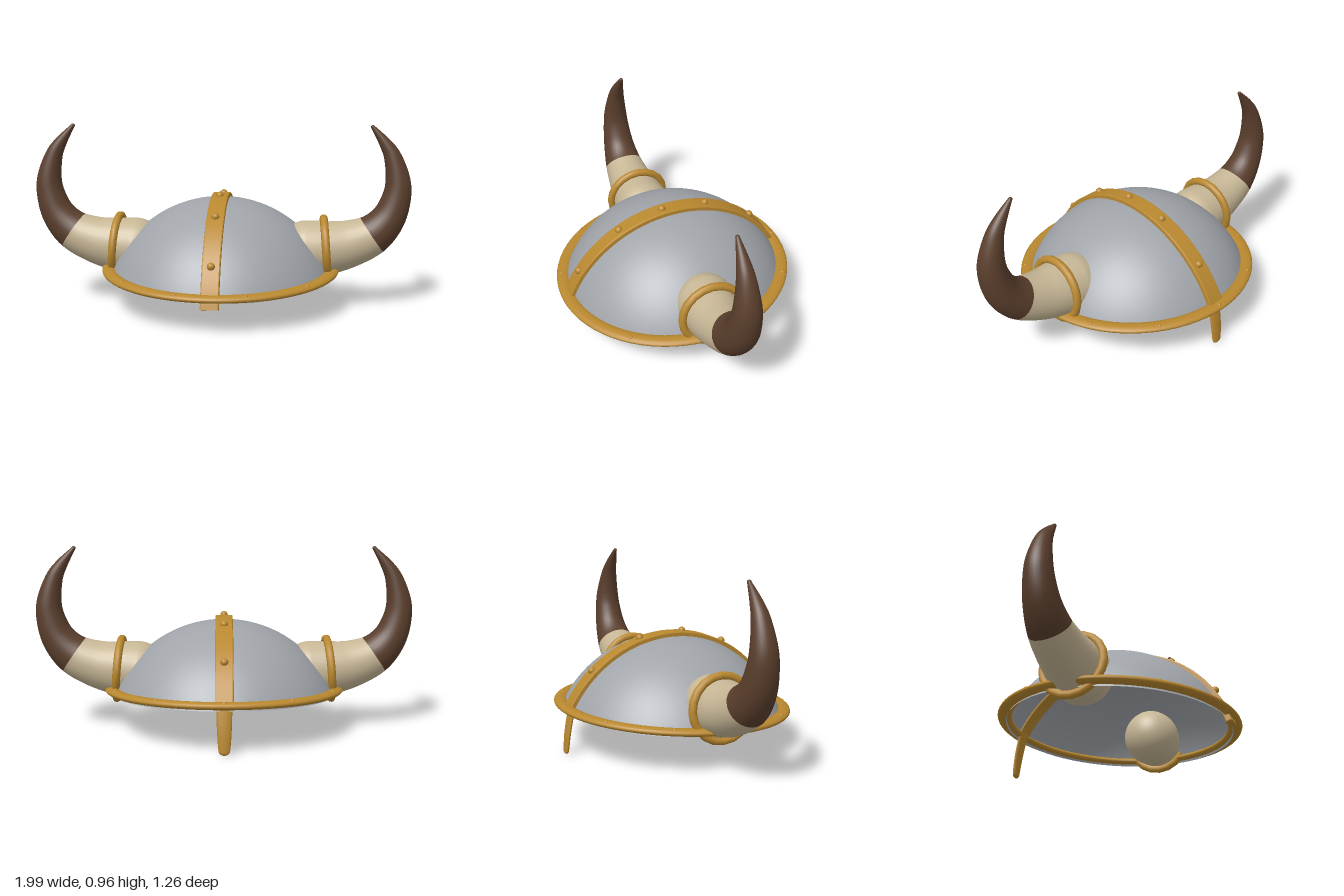
import * as THREE from 'three';

const mat = (name, color, side = THREE.FrontSide) => {
  const m = new THREE.MeshStandardMaterial({ color, side });
  m.name = name;
  return m;
};

// Lofts oval rings along a path in the xy plane; each point is [x, y, half depth, half width]
function loft(points, from = 0, to = 1, steps = 32, sides = 28) {
  const v = (a, b) => points.map(p => new THREE.Vector3(p[a], p[b], 0));
  const path = new THREE.CatmullRomCurve3(v(0, 1), false, 'catmullrom');
  const radii = new THREE.CatmullRomCurve3(v(2, 3), false, 'catmullrom');
  const pos = [], index = [];
  for (let i = 0; i <= steps; i++) {
    const t = from + (to - from) * i / steps;
    const p = path.getPoint(t), d = path.getTangent(t), r = radii.getPoint(t);
    for (let j = 0; j < sides; j++) {
      const a = j / sides * Math.PI * 2, c = Math.cos(a) * r.x;
      pos.push(p.x - d.y * c, p.y + d.x * c, Math.sin(a) * r.y);
      if (i < steps) {
        const k = i * sides, n = (j + 1) % sides;
        index.push(k + j, k + n, k + sides + n, k + j, k + sides + n, k + sides + j);
      }
    }
  }
  const g = new THREE.BufferGeometry();
  g.setAttribute('position', new THREE.Float32BufferAttribute(pos, 3));
  g.setIndex(index);
  g.computeVertexNormals();
  return g;
}

export function createModel() {
  const steel = mat('steel', 0xa0a4a9, THREE.DoubleSide);
  const brass = mat('brass', 0xb9882f);
  const bone = mat('bone', 0xc6b695);
  const darkHorn = mat('dark horn', 0x5a3e2c);

  const model = new THREE.Group();
  model.name = 'hornedHelmet';
  const add = (parent, name, geometry, material, x = 0, y = 0, z = 0) => {
    const m = new THREE.Mesh(geometry, material);
    m.name = name;
    m.position.set(x, y, z);
    parent.add(m);
    return m;
  };

  // Shell, rim and crest lean slightly forward together
  const shell = new THREE.Group();
  shell.name = 'shell';
  shell.position.y = 0.205;
  shell.rotation.x = 0.055;
  model.add(shell);
  const R = 0.633, cy = -0.266;
  add(shell, 'dome', new THREE.SphereGeometry(R, 64, 24, 0, Math.PI * 2, 0, 1.185), steel, 0, cy);

  // Flattened rim ring
  const rim = new THREE.TorusGeometry(0.594, 0.037, 16, 72);
  rim.rotateX(Math.PI / 2).scale(1, 0.5, 1);
  add(shell, 'rim', rim, brass);

  // Crest band running front to back
  const arc = new THREE.Shape();
  arc.absarc(0, 0, 0.648, 0.35, 2.72, false);
  arc.absarc(0, 0, 0.627, 2.72, 0.35, true);
  const crest = new THREE.ExtrudeGeometry(arc, {
    depth: 0.078, curveSegments: 48, bevelSize: 0.006, bevelThickness: 0.006, bevelSegments: 2,
  });
  crest.translate(0, 0, -0.039).rotateY(-Math.PI / 2);
  add(shell, 'crestBand', crest, brass, 0, cy);

  // Rivets on the crest
  const rivet = new THREE.SphereGeometry(0.02, 14, 10);
  for (const deg of [52, 25, 3, -18.5, -45.5]) {
    const a = THREE.MathUtils.degToRad(deg);
    add(shell, 'crestRivet', rivet, brass, 0, cy + Math.cos(a) * 0.655, Math.sin(a) * 0.655);
  }

  // Small rivets around the rim
  const stud = new THREE.SphereGeometry(0.012, 10, 8);
  for (let i = 0; i < 11; i++) {
    const a = (i + 0.5) / 11 * Math.PI * 2;
    add(shell, 'rimRivet', stud, brass, Math.sin(a) * 0.608, 0.011, Math.cos(a) * 0.608);
  }

  // Tapering guard that hangs below the rim
  const guard = add(model, 'guard', loft([
    [0.555, 0.275, 0.002, 0.01], [0.563, 0.255, 0.012, 0.037], [0.582, 0.175, 0.013, 0.037],
    [0.595, 0.1, 0.013, 0.034], [0.603, 0.025, 0.012, 0.028], [0.605, 0.008, 0.009, 0.02],
    [0.605, 0, 0.001, 0.004],
  ]), brass);
  guard.rotation.y = Math.PI / 2;

  // Horns: bone root, dark curved tip and a brass collar
  const spine = [
    [0.46, 0.302, 0.153], [0.565, 0.312, 0.143], [0.68, 0.335, 0.125], [0.797, 0.385, 0.107],
    [0.878, 0.472, 0.089], [0.918, 0.58, 0.075], [0.923, 0.674, 0.064], [0.895, 0.79, 0.046],
    [0.853, 0.865, 0.031], [0.788, 0.949, 0.01],
  ].map(([x, y, r]) => [x, y, r, r]);
  const split = 3 / 9;
  for (const side of [0, 1]) {
    const horn = new THREE.Group();
    horn.name = side ? 'rightHorn' : 'leftHorn';
    horn.rotation.y = side * Math.PI;
    model.add(horn);
    add(horn, 'hornBase', loft(spine, 0, split, 16), bone);
    add(horn, 'hornTip', loft(spine, split, 1, 36), darkHorn);
    add(horn, 'hornPoint', new THREE.SphereGeometry(0.0105, 12, 8), darkHorn, 0.788, 0.949);
    const root = new THREE.SphereGeometry(0.153, 28, 12, 0, Math.PI * 2, 0, Math.PI / 2);
    add(horn, 'hornRoot', root, bone, 0.46, 0.302).rotation.z = Math.PI / 2 + 0.08;
    const collar = new THREE.TorusGeometry(0.16, 0.021, 12, 20);
    collar.rotateY(Math.PI / 2).rotateZ(0.08);
    add(horn, 'hornCollar', collar, brass, 0.557, 0.309);
  }
  return model;
}
